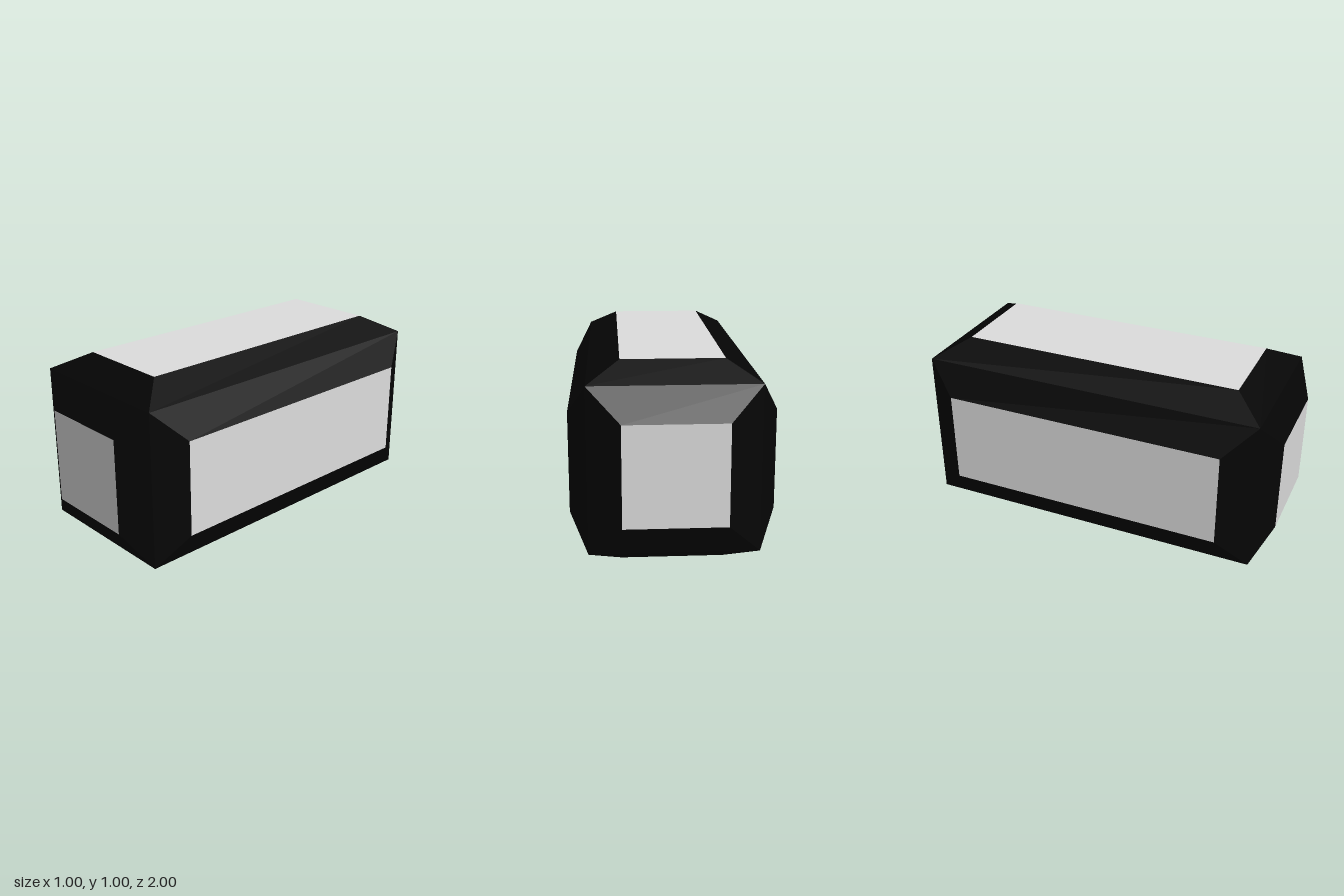
import * as THREE from 'three';

const EDGE = 0.09;  // how far the corner vertices sit in from the bounding box
const INSET = 0.25; // how far each panel sits in from the bounding box
const HALF = new THREE.Vector3(0.5, 0.5, 1);

const black = new THREE.MeshStandardMaterial({ color: 0x050505 });
black.name = 'black';
const lightGrey = new THREE.MeshStandardMaterial({ color: 0xdedede });
lightGrey.name = 'lightGrey';

// Flat polygons from quads, each corner listed anticlockwise from outside
function quadMesh(name, quads, material) {
  const points = quads.flatMap(([a, b, c, d]) => [a, b, c, a, c, d]);
  const geometry = new THREE.BufferGeometry().setFromPoints(points);
  geometry.computeVertexNormals();
  const mesh = new THREE.Mesh(geometry, material);
  mesh.name = name;
  return mesh;
}

// Four corners of a rectangle facing along one axis
function ring(axis, sign, inset, depth) {
  const u = (axis + 1) % 3, v = (axis + 2) % 3;
  const corners = [[-1, -1], [1, -1], [1, 1], [-1, 1]].map(([su, sv]) => {
    const p = new THREE.Vector3();
    p.setComponent(axis, sign * (HALF.getComponent(axis) - depth));
    p.setComponent(u, su * (HALF.getComponent(u) - inset));
    p.setComponent(v, sv * (HALF.getComponent(v) - inset));
    p.y += 0.5;
    return p;
  });
  return sign > 0 ? corners : corners.reverse();
}

export function createModel() {
  const group = new THREE.Group();
  group.name = 'bevelledBlock';
  const sides = [
    ['left', 0, 1], ['right', 0, -1], ['top', 1, 1],
    ['bottom', 1, -1], ['front', 2, 1], ['back', 2, -1],
  ];
  for (const [name, axis, sign] of sides) {
    const outer = ring(axis, sign, EDGE, EDGE);
    const inner = ring(axis, sign, INSET, 0);
    // Flat panel on the face
    group.add(quadMesh(name + 'Panel', [inner], lightGrey));
    // Four sloping bevels down to the block's edges
    const bevels = outer.map((p, i) => {
      const j = (i + 1) % 4;
      return [p, outer[j], inner[j], inner[i]];
    });
    group.add(quadMesh(name + 'Bevel', bevels, black));
  }
  return group;
}
